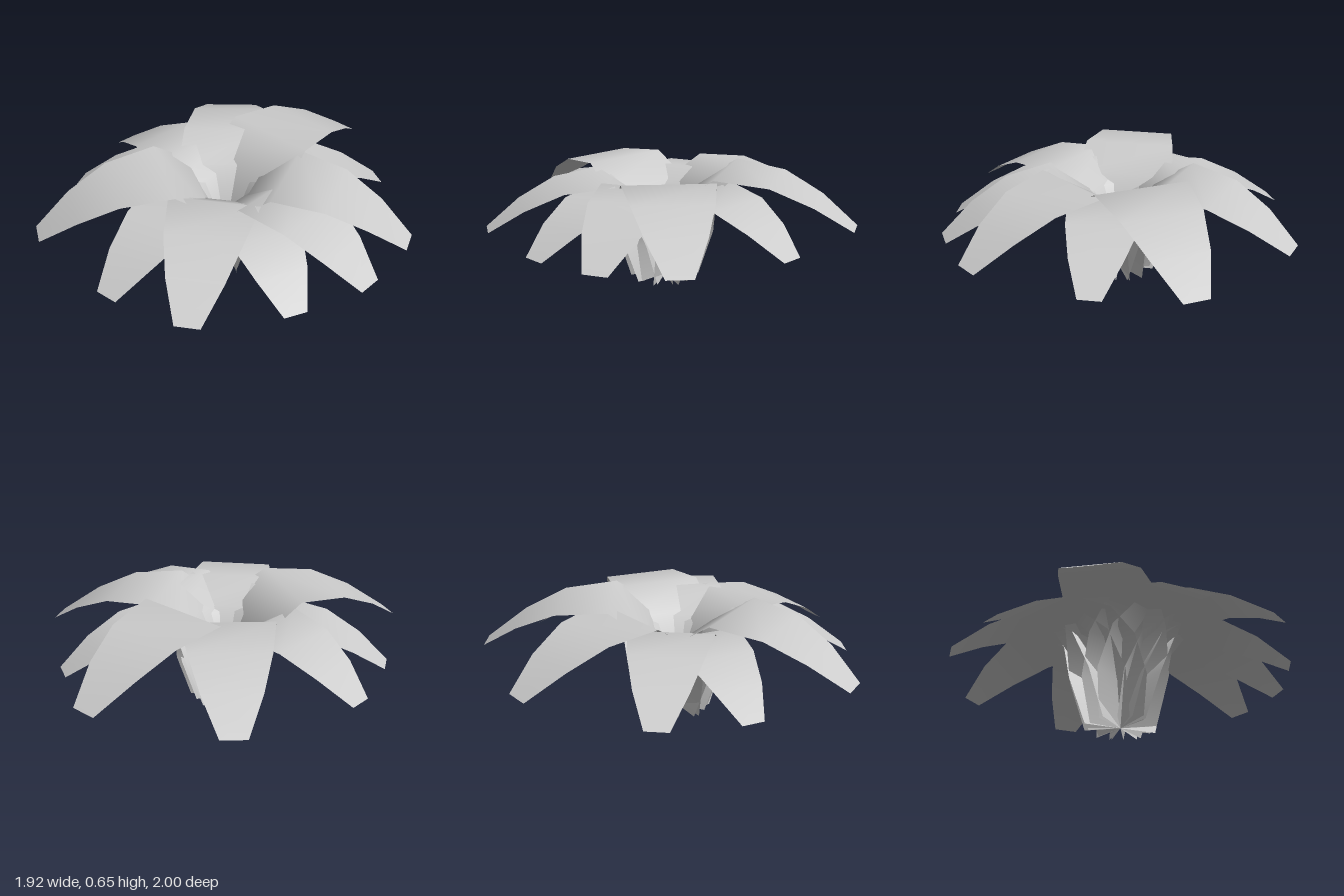
import * as THREE from 'three';

// Petal cross-sections from the heart of the flower to the tip: radius, height, half width
const SECTIONS = [
  [0, 0, 0.19],
  [0.045, 0.26, 0.265],
  [0.15, 0.49, 0.268],
  [0.33, 0.61, 0.245],
  [0.6, 0.58, 0.205],
  [0.81, 0.485, 0.148],
  [1, 0.357, 0.066],
];

// Petals: angle in degrees clockwise from the back (seen from above), and size
const UPPER = [[0, 1.06], [67.5, 1.02], [147, 0.98], [210, 1.035], [318.2, 1.02]];
const LOWER = [[28.6, 0.92], [90.5, 0.985], [115.3, 0.925], [174.8, 0.94], [244.9, 0.895], [274.3, 0.93]];

// A strip that is straight across its width and bends along its length (pointing to -z)
function petalGeometry() {
  const positions = [];
  const index = [];
  SECTIONS.forEach(([r, y, w], i) => {
    positions.push(-w, y, -r, w, y, -r);
    if (i > 0) {
      const a = (i - 1) * 2;
      index.push(a, a + 1, a + 3, a, a + 3, a + 2);
    }
  });
  const geometry = new THREE.BufferGeometry();
  geometry.setAttribute('position', new THREE.Float32BufferAttribute(positions, 3));
  geometry.setIndex(index);
  geometry.computeVertexNormals();
  return geometry;
}

export function createModel() {
  const flower = new THREE.Group();
  flower.name = 'flower';
  const material = new THREE.MeshStandardMaterial({ color: 0xcccccc, side: THREE.DoubleSide });
  const geometry = petalGeometry();

  // One ring of petals, all crossing at the foot of the heart
  const addRing = (name, petals) => {
    const ring = new THREE.Group();
    ring.name = name + 'Petals';
    petals.forEach(([angle, size], i) => {
      const petal = new THREE.Mesh(geometry, material);
      petal.name = name + 'Petal' + (i + 1);
      petal.rotation.y = -THREE.MathUtils.degToRad(angle);
      petal.scale.setScalar(size);
      ring.add(petal);
    });
    ring.position.set(-0.03, 0, 0.06);
    flower.add(ring);
  };
  addRing('upper', UPPER);
  addRing('lower', LOWER);
  return flower;
}
